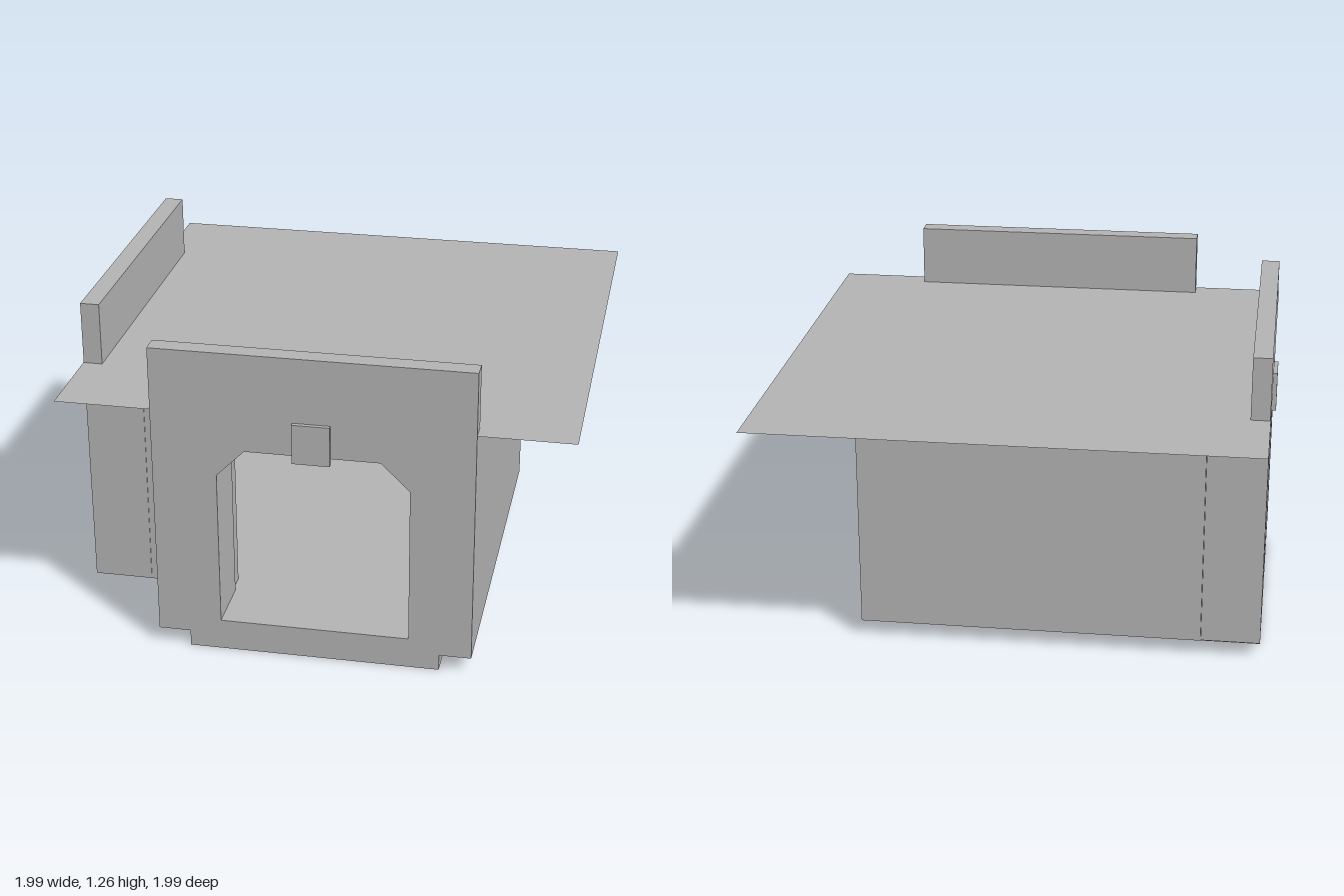
import * as THREE from 'three';

export function createModel() {
  const model = new THREE.Group();
  const stone = new THREE.MeshStandardMaterial({ color: 0xb4b4b4 });
  stone.name = 'stone grey';
  const sheet = new THREE.MeshStandardMaterial({ color: 0xb4b4b4, side: THREE.DoubleSide });
  sheet.name = 'stone grey sheet';

  const add = (parent, name, geometry, material = stone) => {
    const mesh = new THREE.Mesh(geometry, material);
    mesh.name = name;
    parent.add(mesh);
    return mesh;
  };
  // Box given by its limits on each axis
  const box = (parent, name, [x0, x1], [y0, y1], [z0, z1]) => {
    const g = new THREE.BoxGeometry(Math.abs(x1 - x0), y1 - y0, z1 - z0);
    g.translate((x0 + x1) / 2, (y0 + y1) / 2, (z0 + z1) / 2);
    return add(parent, name, g);
  };
  const points = (list, s = 1) => list.map(([x, y]) => new THREE.Vector2(x * s, y));

  // Flat slab from a plan outline in x and z
  const slab = (name, plan, y0, y1) => {
    const shape = new THREE.Shape(points(plan.map(([x, z]) => [x, -z])));
    const g = new THREE.ExtrudeGeometry(shape, { depth: y1 - y0, bevelEnabled: false });
    g.rotateX(-Math.PI / 2).translate(0, y0, 0);
    add(model, name, g);
  };

  // L-shaped base and floor
  slab('base', [[-0.98, -0.505], [0.5, -0.505], [0.5, 0.975], [-0.485, 0.975],
    [-0.485, 0.48], [-0.98, 0.48]], 0, 0.065);
  slab('floor', [[-0.745, -0.63], [0.625, -0.63], [0.625, 0.74], [-0.61, 0.74],
    [-0.61, 0.61], [-0.745, 0.61]], 0.065, 0.125);

  // Portal wall with a chamfered doorway, parapet and keystone; s mirrors it
  const portal = (name, s) => {
    const group = new THREE.Group();
    group.name = name;
    const shape = new THREE.Shape(points(
      [[-0.61, 0.065], [0.625, 0.065], [0.625, 1.01], [-0.61, 1.01]], s));
    shape.holes.push(new THREE.Path(points(
      [[-0.36, 0.125], [-0.36, 0.76], [-0.25, 0.87], [0.27, 0.87], [0.38, 0.76], [0.38, 0.125]], s)));
    const g = new THREE.ExtrudeGeometry(shape, { depth: 0.235, bevelEnabled: false });
    add(group, 'doorway', g.translate(0, 0, 0.74));
    box(group, 'parapet', [-0.61 * s, 0.625 * s], [1.01, 1.265], [0.9, 0.975]);
    box(group, 'keystone', [-0.065 * s, 0.08 * s], [0.845, 1.005], [0.97, 0.992]);
    box(group, 'doorTrim', [-0.43 * s, -0.37 * s], [0.125, 0.75], [0.65, 0.74]);
    model.add(group);
    return group;
  };
  portal('frontPortal', 1);
  const side = portal('sidePortal', -1);
  side.rotation.y = -Math.PI / 2;
  side.position.x = -0.006;

  // Outer walls and the re-entrant corner walls
  const high = [0.125, 1.01];
  box(model, 'leftWall', [0.555, 0.625], high, [-0.63, 0.74]);
  box(model, 'backWall', [-0.745, 0.555], high, [-0.63, -0.56]);
  box(model, 'cornerWallFront', [-0.61, -0.54], high, [0.54, 0.74]);
  box(model, 'cornerWallSide', [-0.745, -0.61], high, [0.54, 0.61]);

  // Skirting and pilasters on the two inner walls
  box(model, 'backSkirting', [-0.745, 0.555], [0.125, 0.19], [-0.56, -0.54]);
  box(model, 'leftSkirting', [0.535, 0.555], [0.125, 0.19], [-0.56, 0.74]);
  box(model, 'backPilaster', [-0.25, -0.105], high, [-0.56, -0.5]);
  box(model, 'backBracket', [-0.31, -0.25], [0.64, 0.72], [-0.56, -0.52]);
  box(model, 'leftPilaster', [0.495, 0.555], high, [0.105, 0.25]);
  box(model, 'leftBracket', [0.515, 0.555], [0.64, 0.72], [0.25, 0.31]);

  // Thin roof sheet
  const roof = new THREE.PlaneGeometry(1.975, 1.975);
  roof.rotateX(-Math.PI / 2).translate(0.005, 1.014, -0.0125);
  add(model, 'roof', roof, sheet);

  return model;
}
